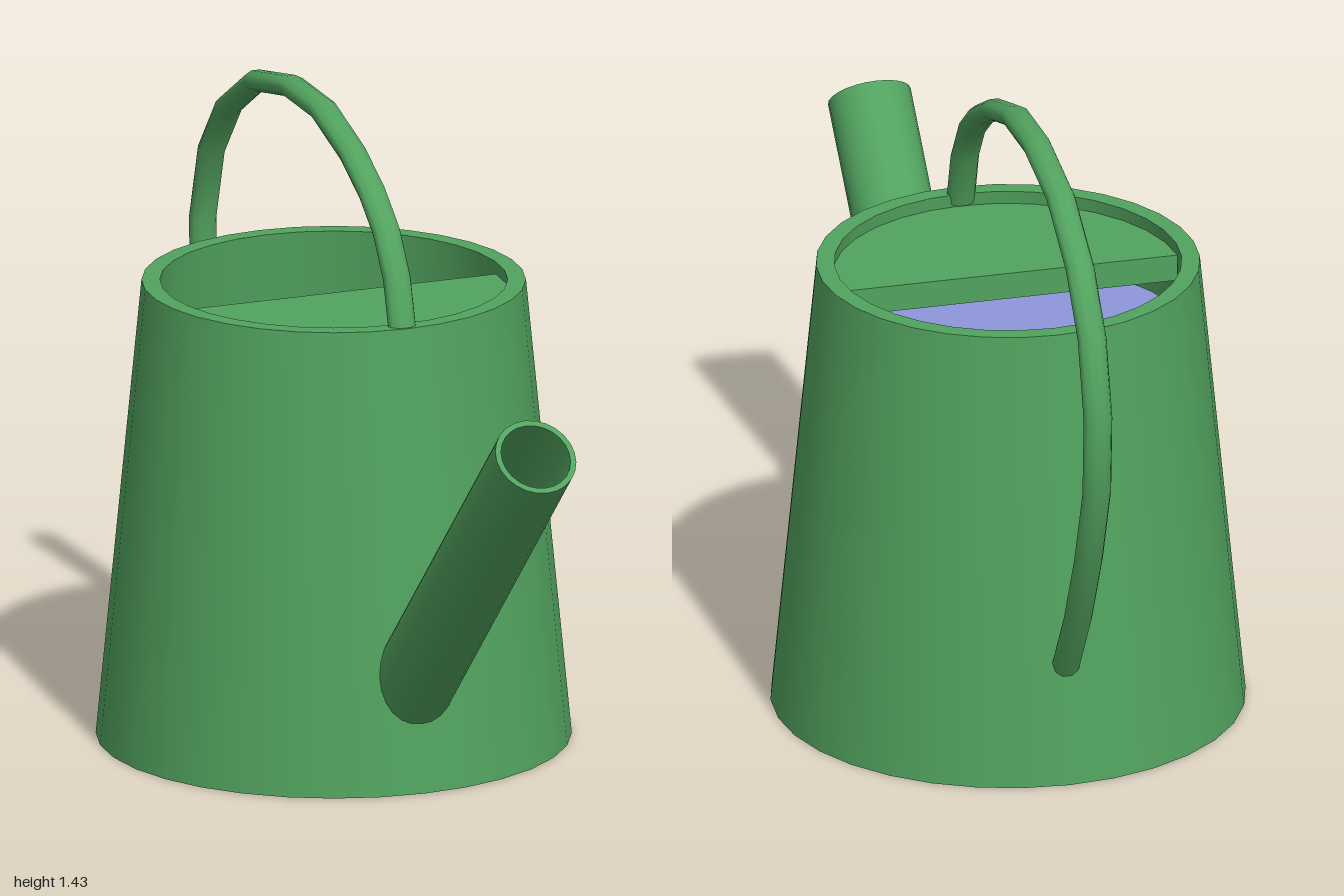
import * as THREE from 'three';
import { toCreasedNormals } from 'three/addons/utils/BufferGeometryUtils.js';

const green = new THREE.MeshStandardMaterial({ color: 0x52a35f });
green.name = 'green enamel';
const blue = new THREE.MeshStandardMaterial({ color: 0x8e96da });
blue.name = 'water blue';

const v2 = (pairs) => pairs.map(([x, y]) => new THREE.Vector2(x, y));
const turned = (pairs, sides) =>
  toCreasedNormals(new THREE.LatheGeometry(v2(pairs), sides), 0.7);

export function createModel() {
  const model = new THREE.Group();
  model.name = 'wateringCan';
  const add = (name, geometry, material, x = 0, y = 0, z = 0) => {
    const mesh = new THREE.Mesh(geometry, material);
    mesh.name = name;
    mesh.position.set(x, y, z);
    model.add(mesh);
    return mesh;
  };
  const bodyZ = -0.22;

  // Tapered, hollow body with a thick rim
  add('body', turned([
    [0, 0], [0.52, 0], [0.42, 1.03], [0.38, 1.03], [0.48, 0.04], [0, 0.04],
  ], 32), green, 0, 0, bodyZ);

  // Water surface inside
  const water = new THREE.CircleGeometry(0.398, 32).rotateX(-Math.PI / 2);
  add('water', water, blue, 0, 0.85, bodyZ);

  // Half lid over the front, slightly below the rim
  const half = new THREE.Shape();
  half.absarc(0, 0, 0.384, 0, Math.PI, false);
  half.closePath();
  const lid = new THREE.ExtrudeGeometry(half, {
    depth: 0.06, bevelEnabled: false, curveSegments: 16,
  }).rotateX(Math.PI / 2);
  add('halfLid', lid, green, 0, 1.0, bodyZ);

  // Open spout rising forward at 45 degrees
  const length = 1.04;
  const spout = add('spout', turned([
    [0.079, 0], [0.092, 0], [0.092, length], [0.079, length], [0.079, 0],
  ], 24), green, 0, 0.2, 0.2);
  spout.rotation.x = Math.PI / 4;

  // Arched handle from the front rim to the lower back: [z, y]
  const path = [
    [0.175, 1.01], [0.14, 1.13], [0.08, 1.22], [0, 1.285], [-0.11, 1.345],
    [-0.28, 1.4], [-0.46, 1.406], [-0.66, 1.365], [-0.82, 1.265], [-0.92, 1.14],
    [-0.97, 0.97], [-0.96, 0.79], [-0.89, 0.6], [-0.8, 0.42], [-0.695, 0.26],
  ].map(([z, y]) => new THREE.Vector3(0, y, z));
  const curve = new THREE.CatmullRomCurve3(path);
  curve.getPointAt = (t, target) => curve.getPoint(t, target);
  curve.getTangentAt = (t, target) => curve.getTangent(t, target);
  const handle = new THREE.TubeGeometry(curve, path.length - 1, 0.024, 10);
  handle.scale(1.35, 1, 1);
  add('handle', handle, green);

  return model;
}
